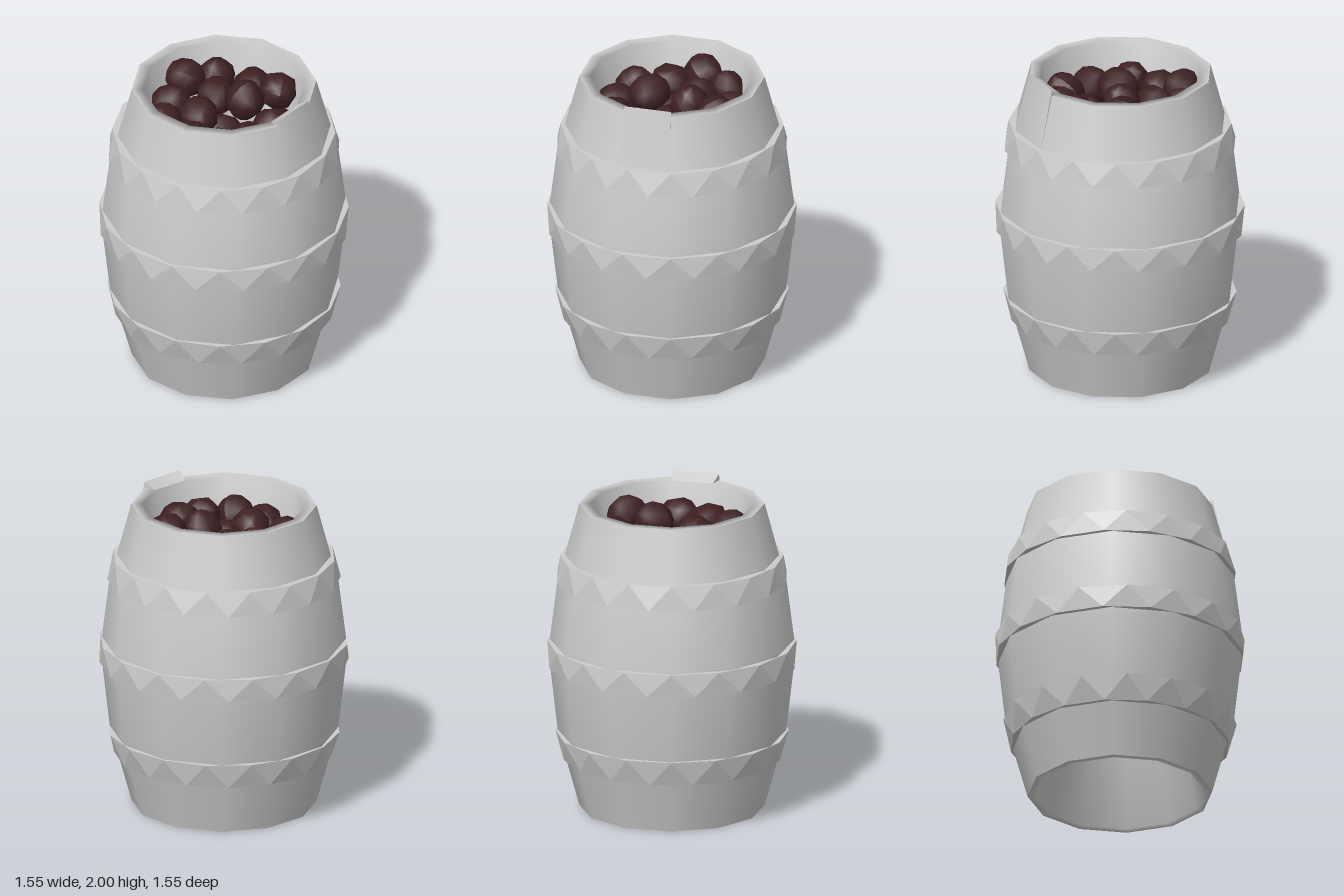
import * as THREE from 'three';

const SIDES = 12;
const wood = new THREE.MeshStandardMaterial({ color: 0xcccccc });
wood.name = 'pale grey';
const fruit = new THREE.MeshStandardMaterial({ color: 0x3f2123 });
fruit.name = 'dark red';

const profile = (pts) => pts.map(([r, y]) => new THREE.Vector2(r, y));

function addMesh(parent, name, geometry, material) {
  const mesh = new THREE.Mesh(geometry, material);
  mesh.name = name;
  parent.add(mesh);
  return mesh;
}

// Band with triangular facets: two rings turned half a step, closed by ledges towards the body
function bandGeometry(yLow, rLow, yHigh, rHigh, n = 16) {
  const ring = (r, y, shift) => (i) => {
    const a = ((i + shift) / n) * Math.PI * 2;
    return [r * Math.sin(a), y, r * Math.cos(a)];
  };
  const rings = [
    ring(rLow - 0.06, yLow, 0.5), ring(rLow, yLow, 0.5),
    ring(rHigh, yHigh, 0), ring(rHigh - 0.06, yHigh, 0),
  ];
  const pos = [];
  for (let k = 0; k < 3; k++) {
    const lo = rings[k], hi = rings[k + 1];
    for (let i = 0; i < n; i++) {
      if (k === 1) pos.push(...lo(i), ...hi(i + 1), ...hi(i), ...lo(i), ...lo(i + 1), ...hi(i + 1));
      else pos.push(...lo(i), ...lo(i + 1), ...hi(i + 1), ...lo(i), ...hi(i + 1), ...hi(i));
    }
  }
  const g = new THREE.BufferGeometry();
  g.setAttribute('position', new THREE.Float32BufferAttribute(pos, 3));
  g.computeVertexNormals();
  return g;
}

// Lumpy fruit: a coarse ball whose radius swells and dips gently
function fruitGeometry() {
  const g = new THREE.SphereGeometry(0.127, 8, 6);
  const p = g.attributes.position;
  const v = new THREE.Vector3();
  for (let i = 0; i < p.count; i++) {
    v.fromBufferAttribute(p, i);
    v.multiplyScalar(1 + 0.06 * Math.sin(23 * v.x + 1) * Math.cos(19 * v.z));
    p.setXYZ(i, v.x, v.y, v.z);
  }
  g.computeVertexNormals();
  return g;
}

export function createModel() {
  const model = new THREE.Group();
  model.name = 'barrelOfFruit';

  // Barrel shell, open at both ends; each rim rolls into a tapering mouth
  const shell = [
    ['barrelBody', [[0.577, 0], [0.668, 0.33], [0.712, 0.49], [0.758, 0.9], [0.76, 1.0],
      [0.758, 1.1], [0.712, 1.47], [0.668, 1.62], [0.577, 1.96]]],
    ['topRimAndMouth', [[0.577, 1.96], [0.505, 1.957], [0.435, 1.5]]],
    ['innerWall', [[0.435, 1.5], [0.43, 0.46]]],
    ['bottomRimAndMouth', [[0.43, 0.46], [0.53, 0.004], [0.577, 0]]],
  ];
  for (const [name, pts] of shell) {
    addMesh(model, name, new THREE.LatheGeometry(profile(pts), SIDES), wood);
  }

  // One stave rises to a lip above the rim
  const stave = new THREE.Group();
  stave.name = 'raisedStave';
  model.add(stave);
  for (const pts of [[[0.672, 1.61], [0.578, 2]], [[0.578, 2], [0.505, 1.957]]]) {
    addMesh(stave, 'staveFace', new THREE.LatheGeometry(profile(pts), 1, Math.PI / 3, Math.PI / 6), wood);
  }
  // Stave ends, one turned to face the other way
  const outline = new THREE.Shape(profile([[0.672, 1.61], [0.578, 2], [0.505, 1.957], [0.6, 1.61]]));
  for (const [angle, flip] of [[0, true], [-Math.PI / 6, false]]) {
    const g = new THREE.ShapeGeometry(outline);
    if (flip) {
      g.index.array.reverse();
      g.attributes.normal.array.forEach((v, i, a) => { a[i] = -v; });
    }
    addMesh(stave, 'staveEdge', g, wood).rotation.y = angle;
  }

  // Bands
  const bands = [
    ['lowerBand', 0.33, 0.685, 0.49, 0.727],
    ['middleBand', 0.93, 0.777, 1.075, 0.777],
    ['upperBand', 1.475, 0.727, 1.625, 0.695],
  ];
  for (const [name, ...dims] of bands) addMesh(model, name, bandGeometry(...dims), wood);

  // Heap of fruit: x, y, z
  const heap = [
    [-0.21, 1.76, -0.34], [0.03, 1.74, -0.36], [0.24, 1.82, -0.28], [-0.35, 1.81, -0.19],
    [-0.13, 1.75, -0.16], [0.09, 1.81, -0.11], [-0.355, 1.74, 0.02], [0.35, 1.77, 0.04],
    [-0.11, 1.79, 0.14], [-0.31, 1.74, 0.24], [-0.08, 1.74, 0.34], [0.135, 1.75, 0.36],
    [0.31, 1.75, 0.23], [0.34, 1.66, -0.13], [0.18, 1.62, 0.04], [-0.2, 1.6, 0],
    [0, 1.62, 0.02], [0.1, 1.64, 0.2],
  ];
  const lump = fruitGeometry();
  heap.forEach(([x, y, z], i) => {
    const f = addMesh(model, 'fruit', lump, fruit);
    f.position.set(x, y, z);
    f.rotation.set(i * 1.3, i * 2.1, i * 0.7);
  });

  return model;
}
